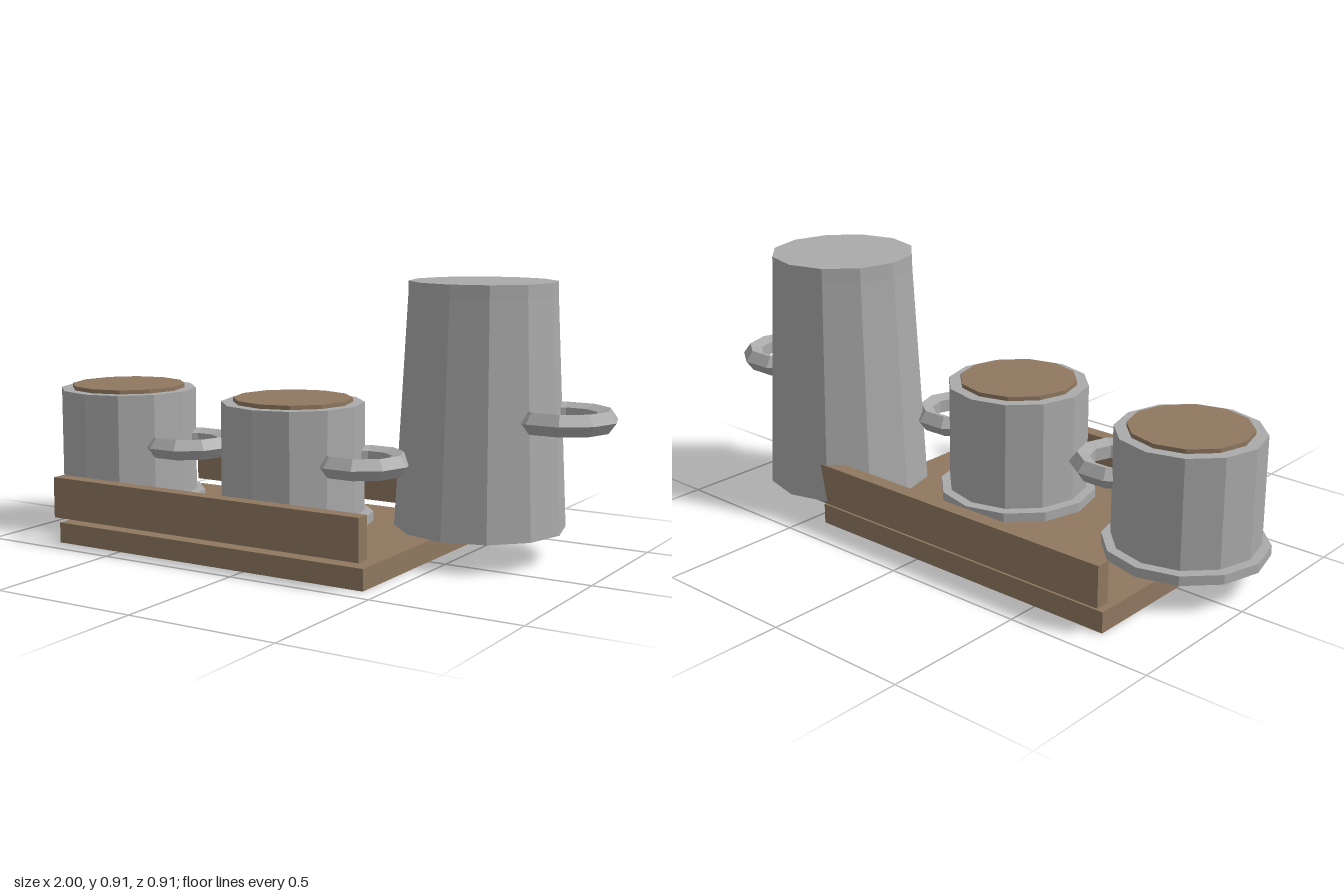
import * as THREE from 'three';

export function createModel() {
  const model = new THREE.Group();
  const wood = new THREE.MeshStandardMaterial({ name: 'brown wood', color: 0x8f7860, flatShading: true });
  const metal = new THREE.MeshStandardMaterial({ name: 'grey metal', color: 0xaaaaaa, flatShading: true });

  const add = (parent, name, geometry, material, x, y, z) => {
    const mesh = new THREE.Mesh(geometry, material);
    mesh.name = name;
    mesh.position.set(x, y, z);
    parent.add(mesh);
    return mesh;
  };

  // Twelve-sided round part between two heights
  const round = (parent, name, material, rTop, rBottom, y0, y1) =>
    add(parent, name, new THREE.CylinderGeometry(rTop, rBottom, y1 - y0, 12), material, 0, (y0 + y1) / 2, 0);

  // Horizontal ring handle with a five-sided section
  const handle = (parent, radius, x, y) => {
    const ring = new THREE.TorusGeometry(radius, 0.037, 5, 10).rotateX(Math.PI / 2);
    add(parent, 'handle', ring, metal, x, y, 0);
  };

  // Tray: base board and two raised side rails
  const tray = new THREE.Group();
  tray.name = 'tray';
  model.add(tray);
  add(tray, 'trayBase', new THREE.BoxGeometry(1.2, 0.07, 0.82), wood, -0.16, 0.035, 0.02);
  for (const [name, z] of [['frontRail', 0.431], ['backRail', -0.392]]) {
    add(tray, name, new THREE.BoxGeometry(1.2, 0.139, 0.05), wood, -0.16, 0.1625, z);
  }

  // Two filled mugs on saucers
  for (const [name, x] of [['rightMug', -0.73], ['middleMug', -0.033]]) {
    const mug = new THREE.Group();
    mug.name = name;
    mug.position.set(x, 0, 0.083);
    model.add(mug);
    round(mug, 'saucer', metal, 0.27, 0.27, 0.1, 0.132);
    round(mug, 'mugBody', metal, 0.24, 0.24, 0.136, 0.502);
    round(mug, 'drink', wood, 0.2, 0.2, 0.49, 0.516);
    handle(mug, 0.128, 0.266, 0.321);
  }

  // Tall tapered pot with a straight lid band
  const pot = new THREE.Group();
  pot.name = 'pot';
  pot.position.set(0.537, 0, -0.172);
  model.add(pot);
  round(pot, 'potBody', metal, 0.243, 0.283, 0.1, 0.857);
  round(pot, 'potLid', metal, 0.242, 0.243, 0.857, 0.908);
  handle(pot, 0.14, 0.286, 0.479);

  return model;
}
